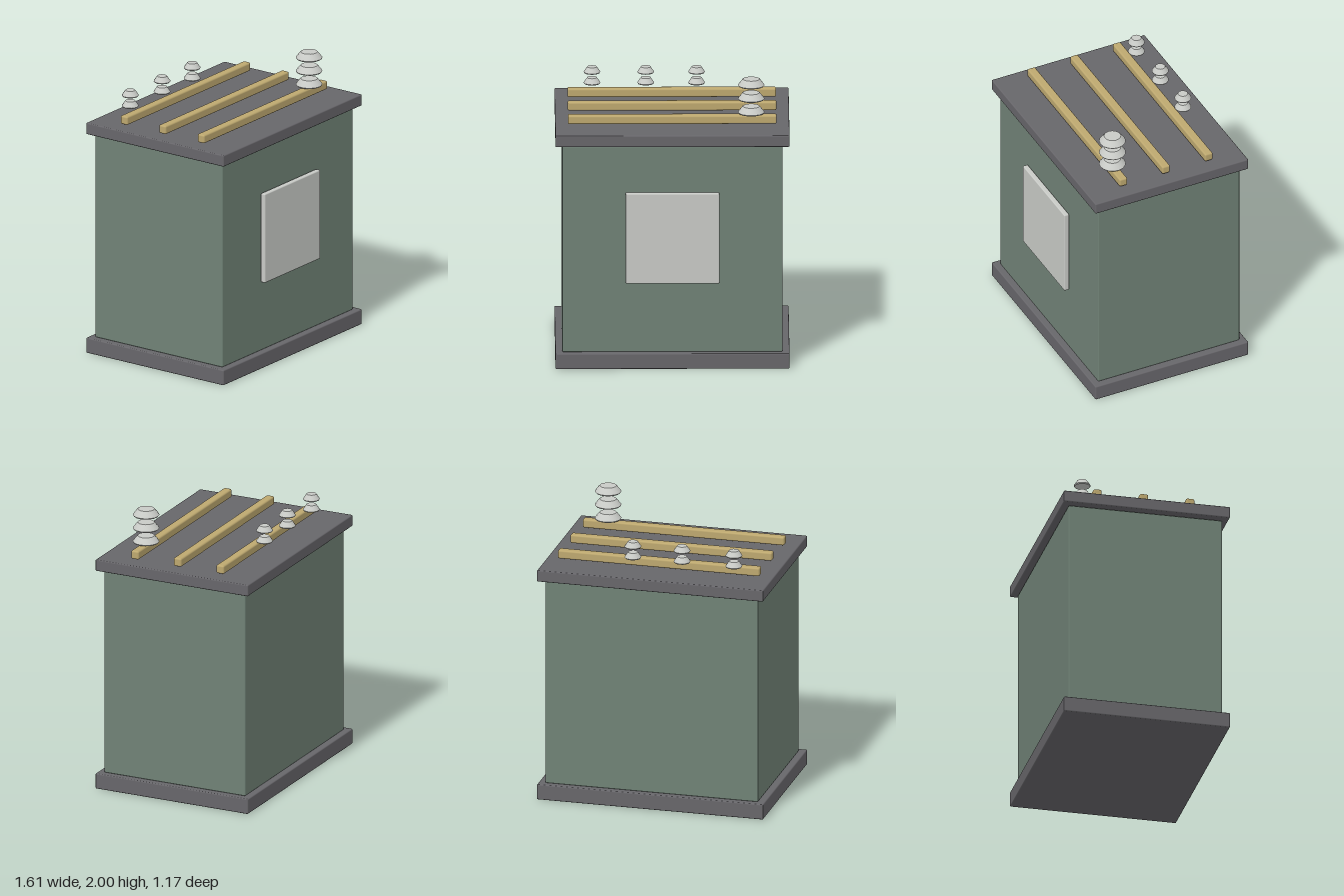
import * as THREE from 'three';
import { toCreasedNormals } from 'three/addons/utils/BufferGeometryUtils.js';
import { RoundedBoxGeometry } from 'three/addons/geometries/RoundedBoxGeometry.js';

const material = (name, color) => {
  const m = new THREE.MeshStandardMaterial({ color });
  m.name = name;
  return m;
};

export function createModel() {
  const model = new THREE.Group();
  model.name = 'transformerCabinet';

  const green = material('cabinet green', 0x708276);
  const gray = material('dark gray', 0x67666a);
  const brass = material('brass', 0xbda86f);
  const porcelain = material('pale porcelain', 0xc8cac6);

  // Softly bevelled box given by its lower and upper faces
  const block = (name, mat, w, d, y0, y1, x = 0, z = 0, bevel = 0.008) => {
    const mesh = new THREE.Mesh(new RoundedBoxGeometry(w, y1 - y0, d, 2, bevel), mat);
    mesh.name = name;
    mesh.position.set(x, (y0 + y1) / 2, z);
    model.add(mesh);
  };

  // Cabinet
  block('base', gray, 1.608, 1.172, 0, 0.11);
  block('body', green, 1.514, 1.084, 0.11, 1.582);
  block('lid', gray, 1.608, 1.172, 1.588, 1.67);
  block('frontPlate', porcelain, 0.644, 0.038, 0.61, 1.255, 0, 0.567);

  // Bus bars across the lid
  for (const z of [0.327, 0, -0.327]) {
    block('busBar', brass, 1.434, 0.06, 1.685, 1.746, 0, z, 0.012);
  }

  // Stacks of separate bell-shaped insulator discs
  const insulator = (name, x, z, count, radius, topRadius, height, pitch) => {
    const profile = [
      [0, 0], [radius * 0.93, 0], [radius, height * 0.16],
      [topRadius * 1.12, height * 0.86], [topRadius, height], [0, height],
    ].map(([r, y]) => new THREE.Vector2(r, y));
    const geometry = toCreasedNormals(new THREE.LatheGeometry(profile, 16), 0.7);
    const stack = new THREE.Group();
    stack.name = name;
    stack.position.set(x, 1.756, z);
    for (let i = 0; i < count; i++) {
      const disc = new THREE.Mesh(geometry, porcelain);
      disc.name = 'insulatorDisc';
      disc.position.y = i * pitch;
      stack.add(disc);
    }
    model.add(stack);
  };
  insulator('largeInsulator', 0.542, 0.327, 3, 0.092, 0.058, 0.05, 0.097);
  for (const x of [-0.547, -0.178, 0.171]) {
    insulator('smallInsulator', x, -0.397, 2, 0.058, 0.034, 0.043, 0.077);
  }

  return model;
}
